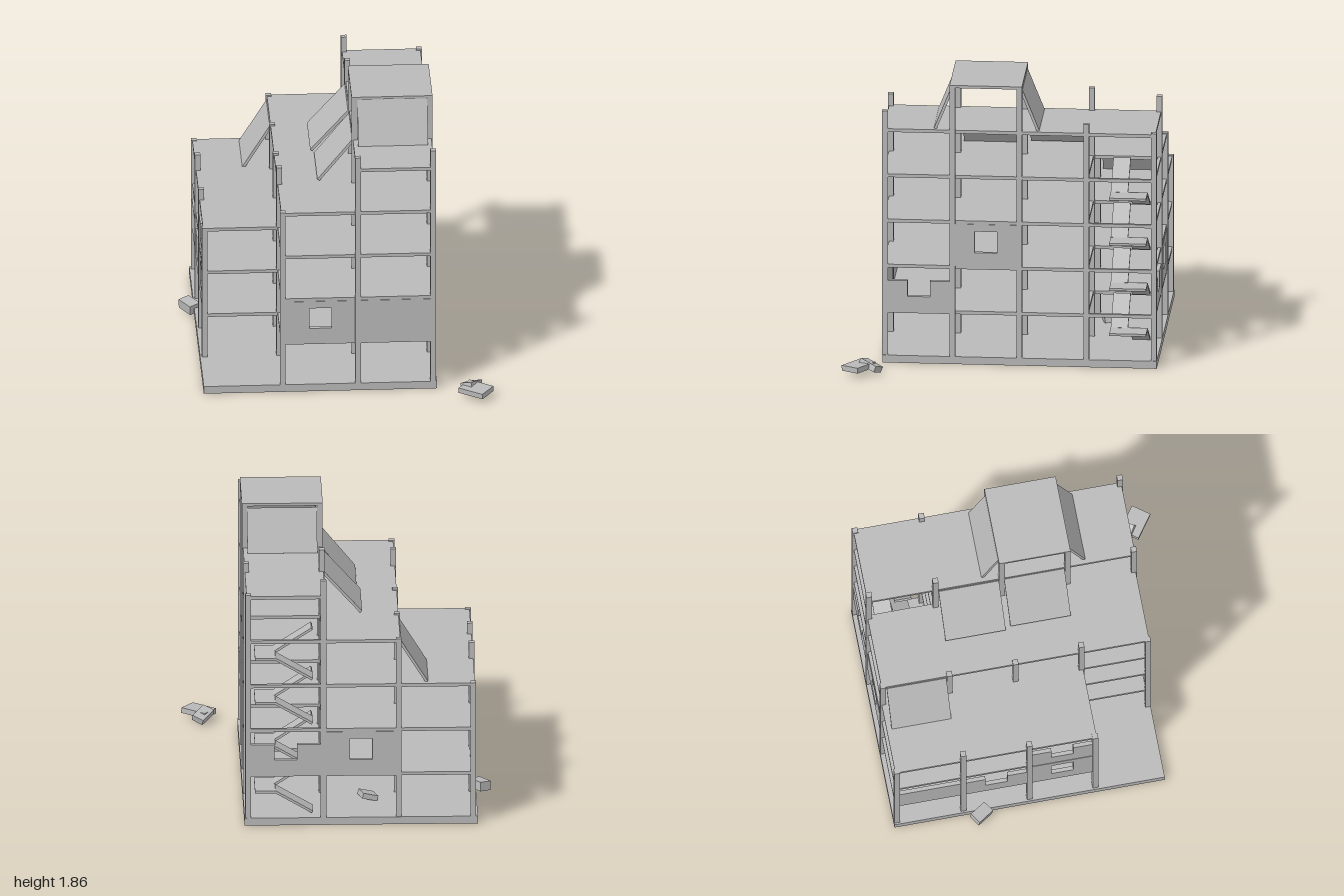
import * as THREE from 'three';

export function createModel() {
  const model = new THREE.Group();
  model.name = 'ruinedBuilding';
  const concrete = new THREE.MeshStandardMaterial({ color: 0xb9b9b9 });
  concrete.name = 'concrete';

  const add = (name, geo, parent = model) => {
    const m = new THREE.Mesh(geo, concrete);
    m.name = name;
    parent.add(m);
    return m;
  };
  // Box given by its limits
  const box = (name, x0, x1, y0, y1, z0, z1) => {
    const m = add(name, new THREE.BoxGeometry(x1 - x0, y1 - y0, z1 - z0));
    m.position.set((x0 + x1) / 2, (y0 + y1) / 2, (z0 + z1) / 2);
    return m;
  };
  // Inclined slab running in x from (xa, ya) to (xb, yb)
  const rampX = (name, xa, ya, xb, yb, z0, z1, t = 0.018) => {
    const m = add(name, new THREE.BoxGeometry(Math.hypot(xb - xa, yb - ya), t, z1 - z0));
    m.position.set((xa + xb) / 2, (ya + yb) / 2, (z0 + z1) / 2);
    m.rotation.z = Math.atan2(yb - ya, xb - xa);
    return m;
  };
  // Inclined slab running in z from (za, ya) to (zb, yb)
  const rampZ = (name, za, ya, zb, yb, x0, x1, t = 0.018) => {
    const m = add(name, new THREE.BoxGeometry(x1 - x0, t, Math.hypot(zb - za, yb - ya)));
    m.position.set((x0 + x1) / 2, (ya + yb) / 2, (za + zb) / 2);
    m.rotation.x = -Math.atan2(yb - ya, zb - za);
    return m;
  };

  const X = [-0.848, -0.373, 0.106, 0.585];
  const Z = [0.736, 0.306, -0.12, -0.548, -0.978];
  const W = 0.018; // half column width
  const T = 0.022; // slab thickness
  const top = (n) => 0.05 + 0.302 * n;

  box('base', -0.877, 0.608, 0, 0.05, -0.998, 0.752);

  // Columns: broken top heights, one row per x, front to back
  const heights = [
    [0, 0.96, 1.03, 1.065, 0.96],
    [1.265, 1.375, 1.27, 1.27, 1.265],
    [1.64, 1.862, 1.862, 1.71, 1.665],
    [1.68, 1.862, 1.862, 1.62, 1.57],
  ];
  heights.forEach((row, i) => row.forEach((h, j) => {
    if (h) box('column', X[i] - W, X[i] + W, 0.05, h, Z[j] - W, Z[j] + W);
  }));

  // Floors: outline steps in at the front left, and the stair bay is open
  const E = 0.01;
  const front = Z[0] + E, back = Z[4] - E, right = X[3] + E;
  const stairX = X[2] + E, stairZ = Z[3] - E;
  for (let n = 1; n <= 4; n++) {
    const y1 = top(n), y0 = y1 - T;
    box('floor', X[1] - E, right, y0, y1, stairZ, front);
    box('floorBack', X[1] - E, stairX, y0, y1, back, stairZ);
    if (n < 4) box('floorLeft', X[0] - E, X[1] - E, y0, y1, back, Z[1] + E);
    box('stairEdgeBeam', right - 0.02, right, y0, y1, back, stairZ);
    box('stairBackBeam', stairX, right - 0.02, y0, y1, back, back + 0.02);
  }
  box('upperFloor', X[2] - E, right, top(5) - T, top(5), back, front);
  box('roof', X[2] - W, X[3] + W, top(6) - 0.018, top(6), Z[2] - W, Z[1] + W);

  // Stairs: two flights and a half landing per storey
  for (let n = 0; n < 4; n++) {
    const y = top(n), mid = y + 0.15;
    rampX('lowerFlight', 0.175, y + 0.01, 0.412, mid, -0.925, -0.81, 0.016);
    rampX('upperFlight', 0.412, mid, 0.175, y + 0.306, -0.8, -0.69, 0.016);
    box('landing', 0.41, 0.54, mid - 0.01, mid + 0.006, -0.925, -0.69);
  }

  // Wall panels: 'window', 'solid', 'low' (broken off) or 'notch' (broken through the window)
  const wall = (kind, level, x, z, length, turned) => {
    const a = length / 2 - W, full = 0.302 - T, cut = 0.195, sill = 0.09, w = 0.071;
    const h = kind === 'window' || kind === 'solid' ? full : cut;
    const pts = [[-a, 0], [a, 0], [a, h]];
    if (kind === 'notch') pts.push([w, h], [w, sill], [-w, sill], [-w, h]);
    pts.push([-a, h]);
    const shape = new THREE.Shape(pts.map((p) => new THREE.Vector2(...p)));
    if (kind === 'window') {
      shape.holes.push(new THREE.Path([[-w, sill], [-w, sill + 0.142], [w, sill + 0.142], [w, sill]]
        .map((p) => new THREE.Vector2(...p))));
    }
    const t = 0.026;
    const geo = new THREE.ExtrudeGeometry(shape, { depth: t, bevelEnabled: false });
    geo.translate(0, 0, -t / 2);
    const m = add('wall', geo);
    m.position.set(x, top(level), z);
    if (turned) m.rotation.y = Math.PI / 2;
  };
  const wallX = (kind, level, i, z) =>
    wall(kind, level, (X[i] + X[i + 1]) / 2, z, X[i + 1] - X[i], false);
  const wallZ = (kind, level, j, x) =>
    wall(kind, level, x, (Z[j] + Z[j + 1]) / 2, Z[j] - Z[j + 1], true);
  wallX('window', 1, 1, Z[0]);
  wallX('solid', 1, 2, Z[0]);
  wallX('window', 1, 1, Z[4]);
  wallX('notch', 1, 2, Z[4]);
  wallZ('notch', 1, 0, X[3]);
  wallZ('window', 2, 1, X[3]);
  wallZ('window', 1, 1, X[0]);
  wallZ('notch', 2, 1, X[0]);
  wallZ('notch', 1, 2, X[0]);
  wallZ('low', 1, 3, X[0]);

  // Collapsed slabs leaning on the floors
  rampX('fallenSlabLeft', -0.562, 0.938, -0.38, 1.235, -0.955, -0.57);
  rampX('fallenSlabMiddle', -0.145, 1.27, 0.095, 1.54, -0.53, -0.14);
  rampX('fallenSlabFront', -0.122, 1.265, 0.1, 1.54, -0.105, 0.285);
  rampZ('fallenRoofFront', 0.418, 1.56, 0.305, 1.84, 0.125, 0.57);
  rampZ('fallenRoofBack', -0.238, 1.56, -0.13, 1.83, 0.125, 0.57);

  // Rubble: size, position, rotation
  const rubble = [
    [[0.18, 0.035, 0.13], [0.85, 0.05, 0.885], [0.06, -0.62, 0.04]],
    [[0.08, 0.04, 0.13], [0.825, 0.05, 0.81], [-0.3, -0.6, 0.12]],
    [[0.08, 0.06, 0.12], [-0.905, 0.05, -0.44], [0.08, 0.6, 0.05]],
    [[0.1, 0.035, 0.12], [-0.185, 0.07, -0.66], [0.1, 0.25, 0.25]],
    [[0.08, 0.035, 0.12], [-0.2, 0.067, -0.43], [0.05, 0.2, 0.1]],
  ];
  for (const [size, pos, rot] of rubble.slice(0, 4)) {
    const m = add('rubble', new THREE.BoxGeometry(...size));
    m.position.set(...pos);
    m.rotation.set(...rot);
  }
  return model;
}
